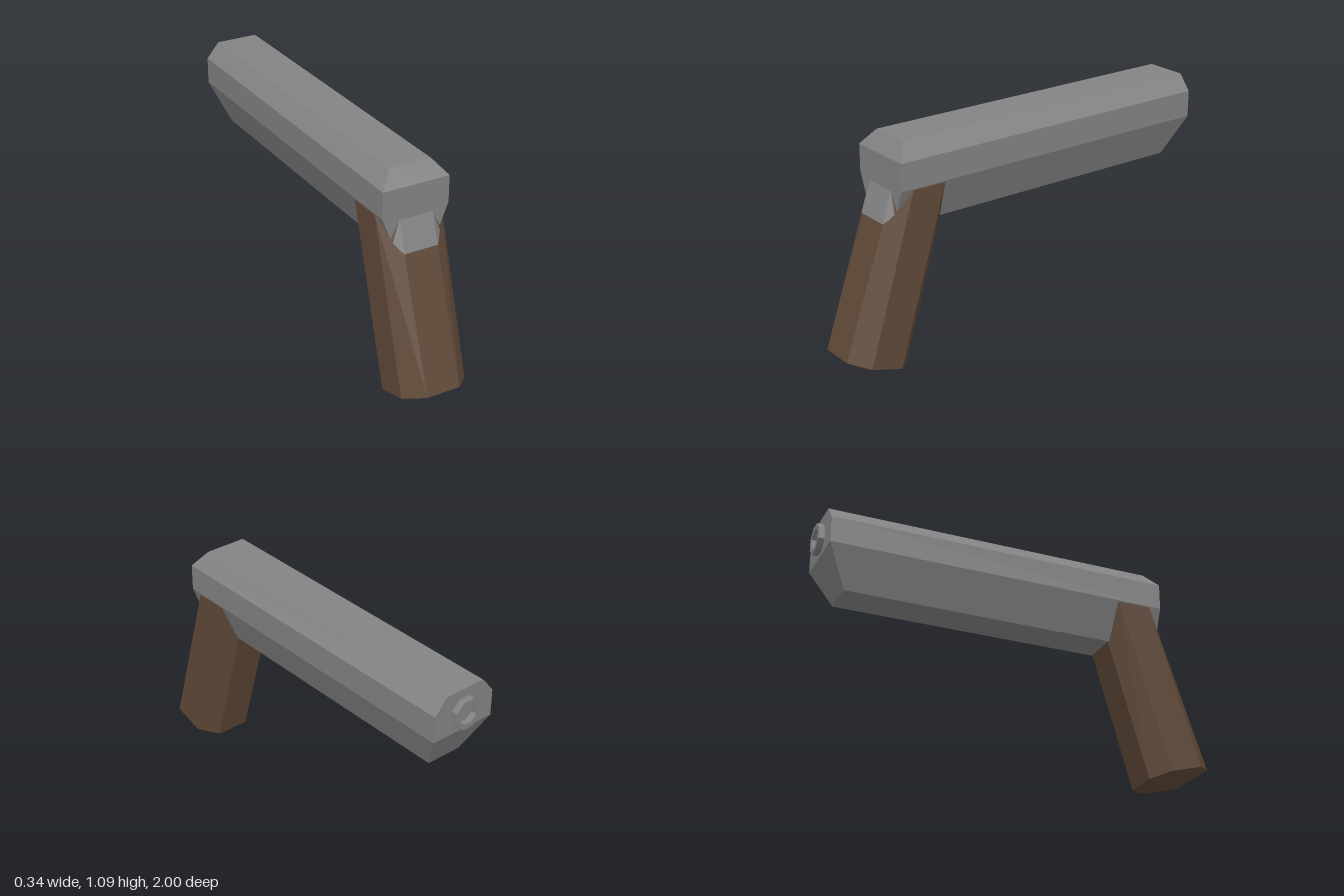
import * as THREE from 'three';
import { ConvexGeometry } from 'three/addons/geometries/ConvexGeometry.js';

const material = (name, color) => {
  const m = new THREE.MeshStandardMaterial({ color, flatShading: true });
  m.name = name;
  return m;
};

// Faceted solid from the corners of one half, mirrored across x = 0
function mirroredSolid(name, corners, mat) {
  const points = corners.flatMap(([x, y, z]) => [
    new THREE.Vector3(x, y, z),
    new THREE.Vector3(-x, y, z),
  ]);
  const mesh = new THREE.Mesh(new ConvexGeometry(points), mat);
  mesh.name = name;
  return mesh;
}

// Octagon with flats on the axes
function octagon(PathType, radius) {
  const path = new PathType();
  for (let i = 0; i < 8; i++) {
    const a = (i + 0.5) * Math.PI / 4;
    const x = radius * Math.cos(a), y = radius * Math.sin(a);
    if (i === 0) path.moveTo(x, y);
    else path.lineTo(x, y);
  }
  path.closePath();
  return path;
}

export function createModel() {
  const group = new THREE.Group();
  const grey = material('grey metal', 0x838383);
  const brown = material('brown wood', 0x5f4938);

  // Long body: bevelled front top, slanted underside at the rear
  group.add(mirroredSolid('body', [
    [0.105, 1.09, 0.68], [0.168, 1.015, 0.735], [0.168, 0.885, 0.735], [0.09, 0.69, 0.735],
    [0.105, 1.09, -0.97], [0.168, 1.015, -0.97], [0.168, 0.885, -0.97], [0.09, 0.69, -0.87],
  ], grey));

  // Tilted eight-sided grip with a bevelled base
  group.add(mirroredSolid('grip', [
    [0.085, 0.86, 0.735], [0.168, 0.878, 0.672], [0.168, 0.878, 0.505], [0.085, 0.86, 0.43],
    [0.085, 0.10, 1.0], [0.168, 0.075, 0.919], [0.168, 0.03, 0.76], [0.085, 0.005, 0.68],
    [0.085, 0.05, 0.93], [0.085, 0, 0.765],
  ], brown));

  // Metal tang laid over the top of the grip
  group.add(mirroredSolid('tang', [
    [0.085, 0.86, 0.739], [0.085, 0.72, 0.788], [0.10, 0.733, 0.772], [0.12, 0.765, 0.748],
    [0.085, 0.86, 0.70], [0.085, 0.72, 0.72], [0.11, 0.765, 0.70],
  ], grey));

  // Hollow octagonal end ring
  const ring = octagon(THREE.Shape, 0.076);
  ring.holes.push(octagon(THREE.Path, 0.05));
  const endRing = new THREE.Mesh(
    new THREE.ExtrudeGeometry(ring, { depth: 0.035, bevelEnabled: false }), grey);
  endRing.position.set(0, 0.975, -1);
  endRing.name = 'endRing';
  group.add(endRing);

  return group;
}
